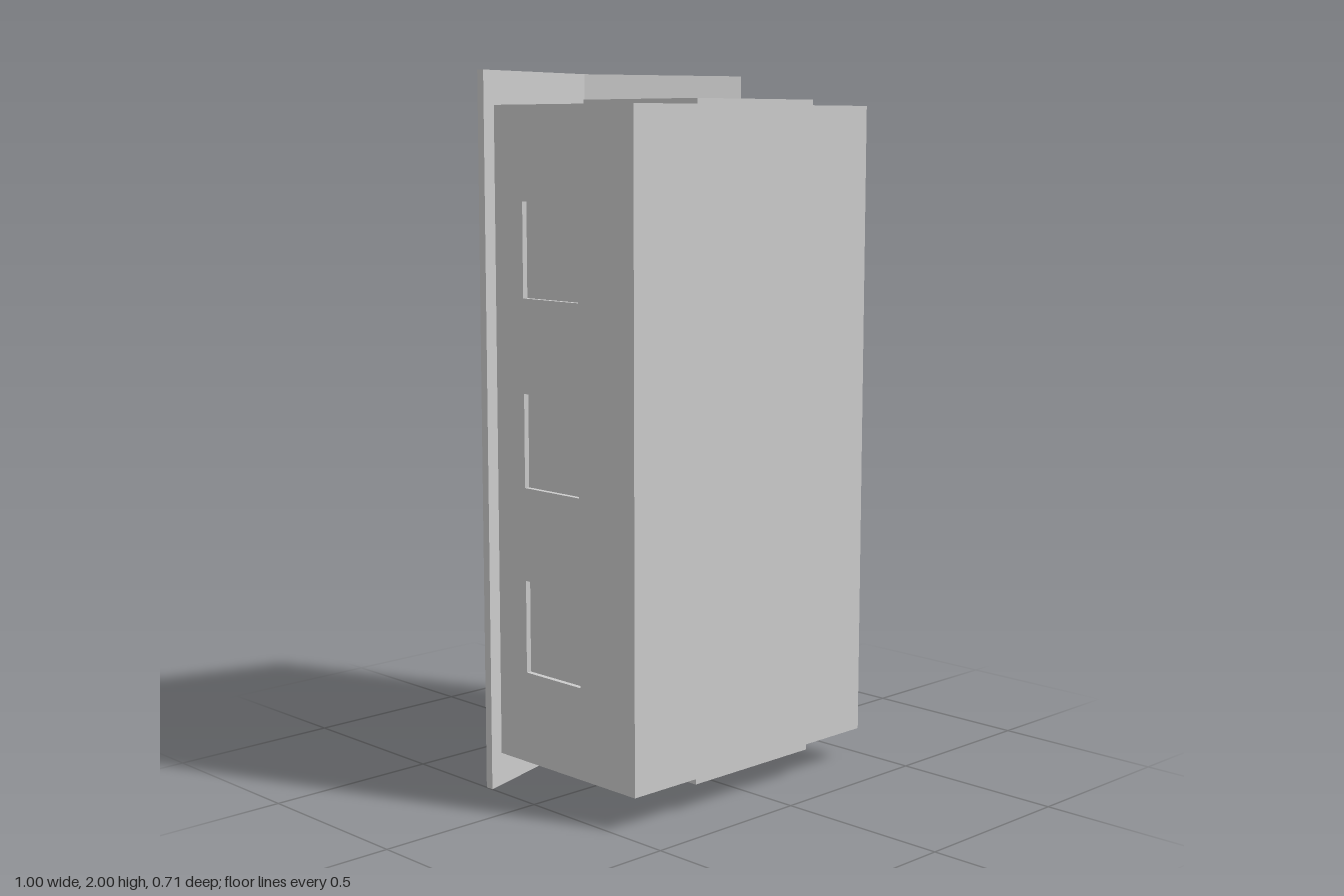
import * as THREE from 'three';

const material = new THREE.MeshStandardMaterial({ color: 0xcccccc, flatShading: true });

// Barn lying on its front: floor faces +z, ridge faces -z, length runs along y.
const MID = 1;            // middle of the length
const WALL = 0.453;       // half width of the body
const RECESS = 0.015;     // window depth and door thickness
const LENGTH = 1.814;
const FLOOR = -0.355;     // heights are measured towards the ridge (-z)
const RIDGE = 0.33;
const SLOPE = 0.3;
const roofAt = (x) => RIDGE - SLOPE * Math.abs(x);

function polygon(points) {
  return new THREE.Shape(points.map(([x, y]) => new THREE.Vector2(x, y)));
}

function part(name, geometry) {
  const mesh = new THREE.Mesh(geometry, material);
  mesh.name = name;
  return mesh;
}

// Extrude a cross-section (x, height) along y, centred on the middle
function alongLength(shape, length) {
  return new THREE.ExtrudeGeometry(shape, { depth: length, bevelEnabled: false })
    .rotateX(-Math.PI / 2)
    .translate(0, MID - length / 2, 0);
}

export function createModel() {
  const model = new THREE.Group();
  model.name = 'barn';

  // Gabled core, inset at the sides by the window depth
  const core = WALL - RECESS;
  model.add(part('body', alongLength(polygon([
    [-core, FLOOR], [core, FLOOR], [core, roofAt(core)], [0, RIDGE], [-core, roofAt(core)],
  ]), LENGTH)));

  // Side walls with three window openings each
  const y0 = MID - LENGTH / 2, y1 = MID + LENGTH / 2, eave = roofAt(core);
  const wall = polygon([[FLOOR, y0], [eave, y0], [eave, y1], [FLOOR, y1]]);
  for (const offset of [-0.52, 0, 0.52]) {
    const y = MID + offset;
    wall.holes.push(polygon([
      [-0.142, y - 0.13], [-0.142, y + 0.13], [0.08, y + 0.13], [0.08, y - 0.13],
    ]));
  }
  const wallGeometry = new THREE.ExtrudeGeometry(wall, { depth: RECESS, bevelEnabled: false })
    .rotateY(Math.PI / 2);
  for (const [name, x] of [['leftWall', core], ['rightWall', -WALL]]) {
    const mesh = part(name, wallGeometry);
    mesh.position.x = x;
    model.add(mesh);
  }

  // Overhanging roof
  const t = 0.025;
  model.add(part('roof', alongLength(polygon([
    [-0.5, roofAt(0.5)], [0, RIDGE], [0.5, roofAt(0.5)],
    [0.5, roofAt(0.5) + t], [0, RIDGE + t], [-0.5, roofAt(0.5) + t],
  ]), 2)));

  // Door panel on each gable end
  const doorHeight = 0.44;
  for (const [name, side] of [['topDoor', 1], ['bottomDoor', -1]]) {
    const door = part(name, new THREE.BoxGeometry(0.45, RECESS, doorHeight));
    door.position.set(0, MID + side * (LENGTH + RECESS) / 2, -FLOOR - doorHeight / 2);
    model.add(door);
  }
  return model;
}
